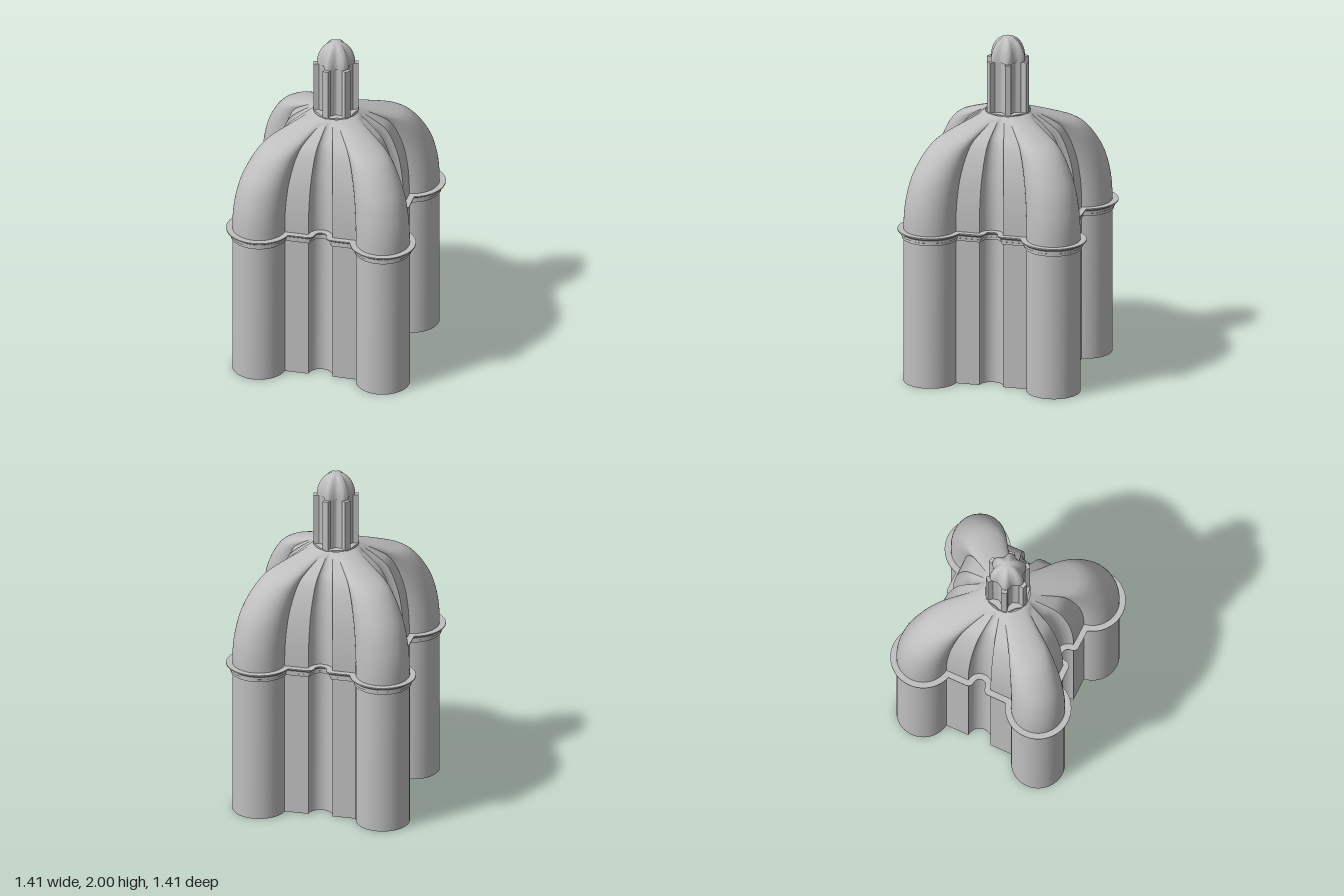
import * as THREE from 'three';
import { toCreasedNormals } from 'three/addons/utils/BufferGeometryUtils.js';

const stone = new THREE.MeshStandardMaterial({ color: 0xbfbfbf, side: THREE.DoubleSide });
stone.name = 'pale stone';
const RAD = Math.PI / 180;

// Cross-shaped plan, offset outwards by d: four round lobes joined by diagonal
// walls, each with a concave niche. Also gives the matching angle on the dome's crown.
function plan(d) {
  const points = [];
  const arc = (q, cx, cz, r, a0, a1, n, t0, t1) => {
    for (let i = 0; i <= n; i++) {
      const f = i / n, a = (a0 + (a1 - a0) * f) * RAD;
      const x = cx + r * Math.cos(a), z = cz + r * Math.sin(a);
      const c = Math.round(Math.cos(q * Math.PI / 2)), s = Math.round(Math.sin(q * Math.PI / 2));
      points.push({ x: x * c - z * s, z: x * s + z * c, crown: (t0 + (t1 - t0) * f + q * 90) * RAD });
    }
  };
  const lobe = 0.155 + d, niche = 0.0707 - d;
  const phi = 45 + Math.acos((0.54 + d * Math.SQRT2 - 0.515) / (lobe * Math.SQRT2)) / RAD;
  const cut = d < 0 ? Math.asin(-d / niche) / RAD : 0;
  for (let q = 0; q < 4; q++) {
    arc(q, 0.515, 0, lobe, -phi, phi, 40, -31, 31);
    if (d > 0) arc(q, 0.32, 0.22, d, 45, 135, 6, 40, 40);
    else arc(q, 0.27, 0.27, niche, -45 - cut, -45 - cut, 6, 40, 40);
    arc(q, 0.27, 0.27, niche, -45 - cut, -225 + cut, 16, 40, 50);
    if (d > 0) arc(q, 0.22, 0.32, d, -45, 45, 6, 50, 50);
    else arc(q, 0.27, 0.27, niche, -225 + cut, -225 + cut, 6, 50, 50);
  }
  return points;
}

// Skin over a stack of closed rings of equal point count
function loft(rings, crease = 0.55) {
  const n = rings[0].length, pos = [], index = [];
  for (const ring of rings) for (const p of ring) pos.push(p.x, p.y, p.z);
  for (let i = 0; i < rings.length - 1; i++) {
    for (let j = 0; j < n; j++) {
      const a = i * n + j, b = i * n + (j + 1) % n;
      index.push(a, a + n, b, b, a + n, b + n);
    }
  }
  const g = new THREE.BufferGeometry();
  g.setAttribute('position', new THREE.Float32BufferAttribute(pos, 3));
  g.setIndex(index);
  return toCreasedNormals(g, crease);
}

const sweep = (profile) => loft(profile.map(([d, y]) => plan(d).map((p) => ({ x: p.x, y, z: p.z }))));

// Six-lobed ring with a lobe pointing to the front
function scallop(radius, depth, y, n = 96) {
  return Array.from({ length: n }, (_, i) => {
    const a = i / n * Math.PI * 2;
    const r = radius + depth * Math.cos(6 * (a - Math.PI / 2));
    return { x: r * Math.cos(a), y, z: r * Math.sin(a) };
  });
}

export function createModel() {
  const model = new THREE.Group();
  const add = (name, geometry, parent = model) => {
    const mesh = new THREE.Mesh(geometry, stone);
    mesh.name = name;
    parent.add(mesh);
    return mesh;
  };

  // Hollow walls, open below
  add('walls', sweep([[-0.02, 0.91], [-0.02, 0], [0, 0], [0, 0.91]]));

  // Stepped moulding round the wall top
  add('cornice', sweep([
    [0, 0.868], [0.01, 0.87], [0.01, 0.885], [0.016, 0.888], [0.016, 0.902],
    [0.035, 0.915], [0.035, 0.922], [-0.006, 0.922],
  ]));

  // Dome shrinking from the plan to a round crown
  const curve = new THREE.SplineCurve([
    [0.67, 0.915], [0.668, 1.0], [0.655, 1.1], [0.62, 1.22], [0.56, 1.325], [0.5, 1.395],
    [0.45, 1.432], [0.4, 1.456], [0.3, 1.495], [0.2, 1.53], [0.13, 1.553],
  ].map(([x, y]) => new THREE.Vector2(x, y)));
  const base = plan(0), crown = 0.13;
  add('dome', loft(curve.getPoints(40).map(({ x, y }) => {
    const s = (x - crown) / (0.67 - crown);
    return base.map((p) => ({
      x: THREE.MathUtils.lerp(crown * Math.cos(p.crown), p.x, s),
      y,
      z: THREE.MathUtils.lerp(crown * Math.sin(p.crown), p.z, s),
    }));
  }), 0.4));

  // Lantern: scalloped base, drum, six fins and ribbed cap
  const lantern = new THREE.Group();
  lantern.name = 'lantern';
  model.add(lantern);
  add('lanternBase', loft([
    scallop(0.125, 0.008, 1.54), scallop(0.125, 0.008, 1.556), scallop(0, 0, 1.556),
  ]), lantern);
  add('lanternDrum', loft([
    scallop(0.092, 0.014, 1.55), scallop(0.092, 0.014, 1.86), scallop(0, 0, 1.86),
  ]), lantern);
  for (let i = 0; i < 6; i++) {
    const a = i * Math.PI / 3;
    const fin = add('lanternFin', new THREE.BoxGeometry(0.035, 0.305, 0.04), lantern);
    fin.position.set(Math.sin(a) * 0.109, 1.7075, Math.cos(a) * 0.109);
    fin.rotation.y = a;
  }
  const capRings = [];
  for (let i = 0; i <= 14; i++) {
    const t = i / 14 * Math.PI / 2, r = Math.cos(t);
    capRings.push(scallop(0.098 * r, 0.012 * r, 1.86 + 0.14 * Math.sin(t)));
  }
  add('lanternCap', loft(capRings, 0.7), lantern);

  return model;
}
